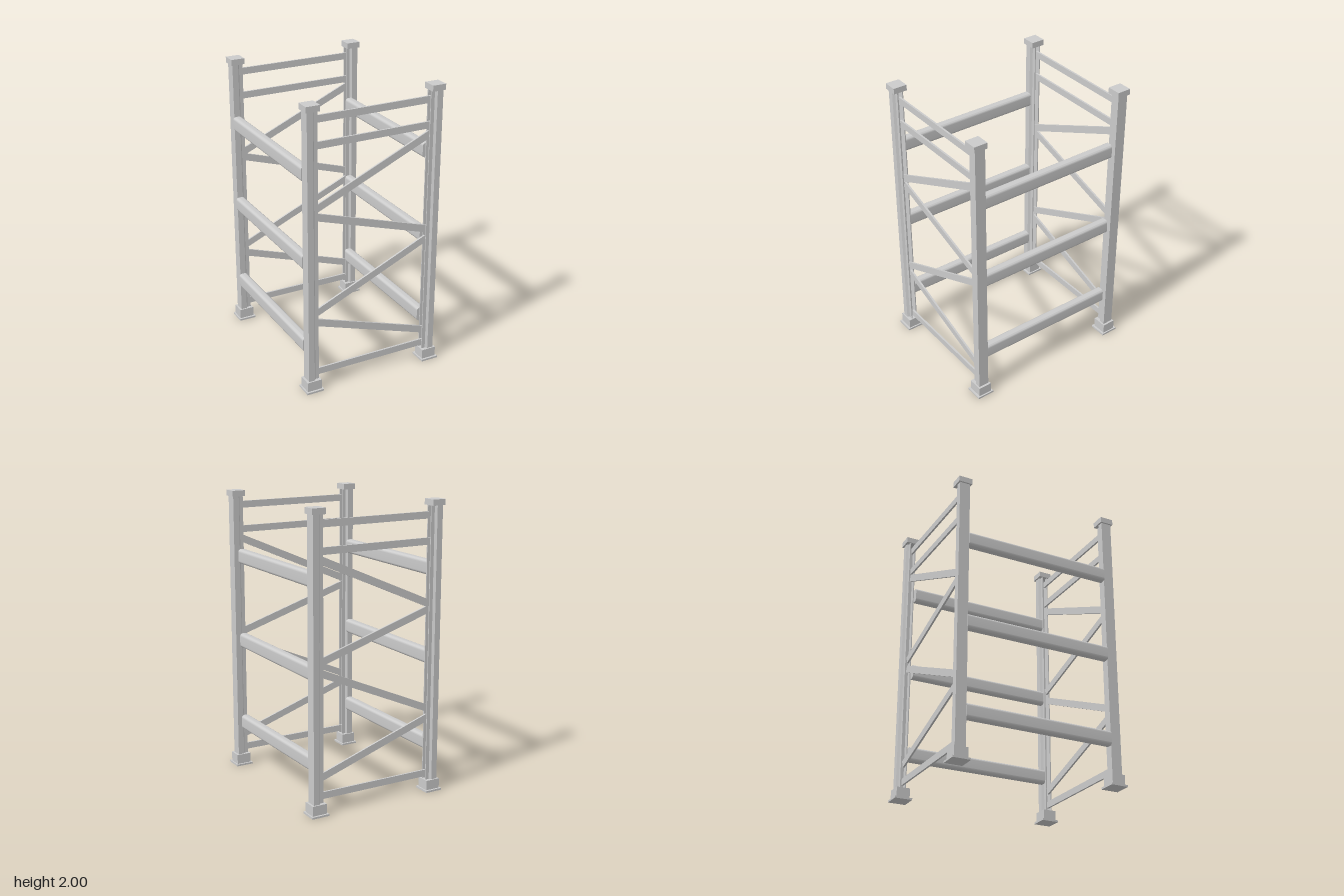
import * as THREE from 'three';
import { toCreasedNormals } from 'three/addons/utils/BufferGeometryUtils.js';

const POST_X = 0.443, POST_Z = 0.557;
const material = new THREE.MeshStandardMaterial({ color: 0xcccccc });

function addMesh(parent, name, geometry, x = 0, y = 0, z = 0) {
  const mesh = new THREE.Mesh(geometry, material);
  mesh.name = name;
  mesh.position.set(x, y, z);
  parent.add(mesh);
  return mesh;
}

// Thin folded section: flat web outside, narrowed and open toward the frame
function postGeometry() {
  const half = [
    [0.04, 0.037], [-0.002, 0.037], [-0.014, 0.022], [-0.04, 0.022],
    [-0.04, 0.015], [-0.017, 0.015], [-0.006, 0.030], [0.033, 0.030],
  ];
  const outer = half.slice(0, 4), inner = half.slice(4);
  const flip = (list) => list.map(([x, z]) => [x, -z]).reverse();
  const outline = [...outer, ...inner, ...flip(inner), ...flip(outer)];
  const shape = new THREE.Shape(outline.map(([x, z]) => new THREE.Vector2(x, z)));
  const geometry = new THREE.ExtrudeGeometry(shape, { depth: 1.95, bevelEnabled: false });
  return geometry.rotateX(-Math.PI / 2);
}

// Beam with rounded edges running along z
function beamGeometry() {
  const w = 0.031, h = 0.05, r = 0.02;
  const shape = new THREE.Shape();
  shape.absarc(w - r, h - r, r, 0, Math.PI / 2);
  shape.absarc(-w + r, h - r, r, Math.PI / 2, Math.PI);
  shape.absarc(-w + r, -h + r, r, Math.PI, Math.PI * 1.5);
  shape.absarc(w - r, -h + r, r, Math.PI * 1.5, Math.PI * 2);
  const length = 1.044;
  const geometry = new THREE.ExtrudeGeometry(shape, { depth: length, bevelEnabled: false, curveSegments: 6 });
  return toCreasedNormals(geometry.translate(0, 0, -length / 2), 0.7);
}

// Flat bar between the left and right post at the given heights
function addBar(parent, name, yMinus, yPlus, width) {
  const span = 0.83, rise = yPlus - yMinus;
  const geometry = new THREE.BoxGeometry(Math.hypot(span, rise), width, 0.013);
  addMesh(parent, name, geometry, 0, (yMinus + yPlus) / 2, 0).rotation.z = Math.atan2(rise, span);
}

export function createModel() {
  const model = new THREE.Group();
  model.name = 'rackFrame';

  // Corner posts with cap, foot sleeve and base plate
  const post = postGeometry();
  for (const sx of [-1, 1]) {
    for (const sz of [-1, 1]) {
      const corner = new THREE.Group();
      corner.name = 'cornerPost';
      corner.position.set(sx * POST_X, 0, sz * POST_Z);
      if (sx < 0) corner.rotation.y = Math.PI;
      addMesh(corner, 'post', post, 0, 0.01, 0);
      addMesh(corner, 'cap', new THREE.BoxGeometry(0.096, 0.04, 0.096), 0.003, 1.98, 0);
      addMesh(corner, 'footSleeve', new THREE.BoxGeometry(0.104, 0.07, 0.094), 0.003, 0.046, 0);
      addMesh(corner, 'basePlate', new THREE.BoxGeometry(0.124, 0.013, 0.123), 0.003, 0.0065, 0);
      model.add(corner);
    }
  }

  // Side beams, set the same way on both sides
  const beam = beamGeometry();
  for (const x of [-0.459, 0.422]) {
    for (const y of [0.325, 0.935, 1.54]) addMesh(model, 'sideBeam', beam, x, y, 0);
  }

  // Front and back bracing; the back zigzag sits slightly higher
  for (const sz of [-1, 1]) {
    const brace = new THREE.Group();
    brace.name = sz > 0 ? 'frontBracing' : 'backBracing';
    brace.position.z = sz * POST_Z;
    for (const y of [0.124, 1.727, 1.898]) addBar(brace, 'horizontalBar', y, y, 0.047);
    const d = -0.012 * sz;
    addBar(brace, 'diagonalBar', 1.305 + d / 3, 1.67 + d / 3, 0.05);
    addBar(brace, 'diagonalBar', 1.265 + d, 1.005 + d, 0.05);
    addBar(brace, 'diagonalBar', 0.575 + d, 0.938 + d, 0.048);
    addBar(brace, 'diagonalBar', 0.512 + d, 0.235 + d, 0.05);
    model.add(brace);
  }

  return model;
}
